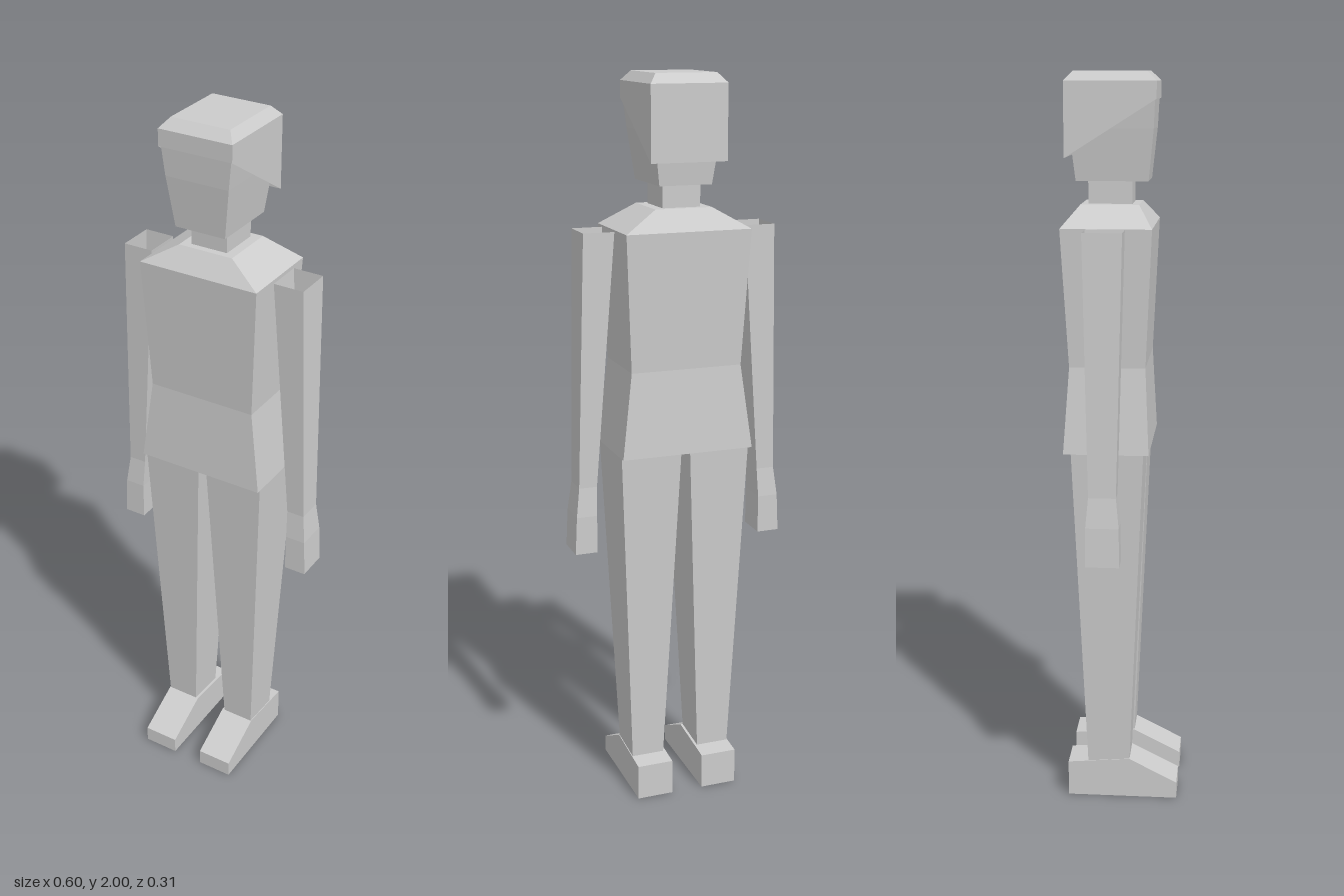
import * as THREE from 'three';

const grey = new THREE.MeshStandardMaterial({ color: 0xcccccc, flatShading: true, side: THREE.DoubleSide });
grey.name = 'plain grey';

// Lofts rectangular rings, listed bottom to top: [y, xMin, xMax, zBack, zFront, yBack = y]
function loft(name, rings, capBottom = true, capTop = true) {
  const pos = [];
  const corners = rings.map(([y, x0, x1, zb, zf, yb = y]) => [
    [x0, y, zf], [x1, y, zf], [x1, yb, zb], [x0, yb, zb],
  ]);
  const quad = (a, b, c, d) => pos.push(...a, ...b, ...c, ...a, ...c, ...d);
  for (let r = 0; r < corners.length - 1; r++) {
    const lo = corners[r], hi = corners[r + 1];
    for (let i = 0; i < 4; i++) {
      const j = (i + 1) % 4;
      quad(lo[i], lo[j], hi[j], hi[i]);
    }
  }
  const first = corners[0], last = corners[corners.length - 1];
  if (capBottom) quad(first[3], first[2], first[1], first[0]);
  if (capTop) quad(...last);
  const geo = new THREE.BufferGeometry();
  geo.setAttribute('position', new THREE.Float32BufferAttribute(pos, 3));
  geo.computeVertexNormals();
  const mesh = new THREE.Mesh(geo, grey);
  mesh.name = name;
  return mesh;
}

// Flips ring x ranges for the right-hand side
const sided = (rings, s) => rings.map(([y, a, b, ...z]) => (s > 0 ? [y, a, b, ...z] : [y, -b, -a, ...z]));

function foot(name, s) {
  const shape = new THREE.Shape([
    [-0.156, 0], [-0.156, 0.047], [-0.022, 0.115], [0.093, 0.105], [0.15, 0.1], [0.15, 0],
  ].map(([x, y]) => new THREE.Vector2(x, y)));
  const geo = new THREE.ExtrudeGeometry(shape, { depth: 0.102, bevelEnabled: false });
  geo.rotateY(Math.PI / 2); // profile x becomes -z, depth becomes +x
  geo.translate(s > 0 ? 0.045 : -0.147, 0, 0);
  const mesh = new THREE.Mesh(geo, grey);
  mesh.name = name;
  return mesh;
}

export function createModel() {
  const model = new THREE.Group();
  model.name = 'figure';

  // Head, cap of hair and neck
  model.add(loft('head', [
    [1.72, -0.072, 0.072, -0.125, 0.066],
    [1.855, -0.09, 0.09, -0.14, 0.08],
    [1.94, -0.1, 0.1, -0.145, 0.084],
  ]));
  model.add(loft('hair', [
    [1.93, -0.104, 0.104, -0.152, 0.088, 1.78],
    [1.975, -0.104, 0.104, -0.152, 0.088],
    [2, -0.083, 0.083, -0.128, 0.062],
  ], false));
  model.add(loft('neck', [
    [1.64, -0.052, 0.052, -0.094, 0.023],
    [1.73, -0.052, 0.052, -0.094, 0.023],
  ]));

  // Torso with sloped shoulders and an open hem
  model.add(loft('torso', [
    [1.01, -0.184, 0.184, -0.152, 0.076],
    [1.24, -0.154, 0.154, -0.137, 0.065],
    [1.605, -0.172, 0.172, -0.157, 0.082],
    [1.66, -0.078, 0.078, -0.112, 0.042],
  ], false));

  for (const s of [1, -1]) {
    const side = s > 0 ? 'left' : 'right';
    // Arm: hollow sleeve running into a closed hand
    model.add(loft(side + 'Arm', sided([
      [0.735, 0.237, 0.299, -0.082, 0.007],
      [0.84, 0.237, 0.294, -0.082, 0.006],
      [0.92, 0.234, 0.284, -0.075, -0.002],
      [1.605, 0.182, 0.266, -0.09, 0.013],
    ], s), true, false));
    model.add(loft(side + 'Leg', sided([
      [0.09, 0.053, 0.144, -0.093, 0.022],
      [1.02, 0.012, 0.182, -0.132, 0.062],
    ], s)));
    model.add(foot(side + 'Foot', s));
  }
  return model;
}
